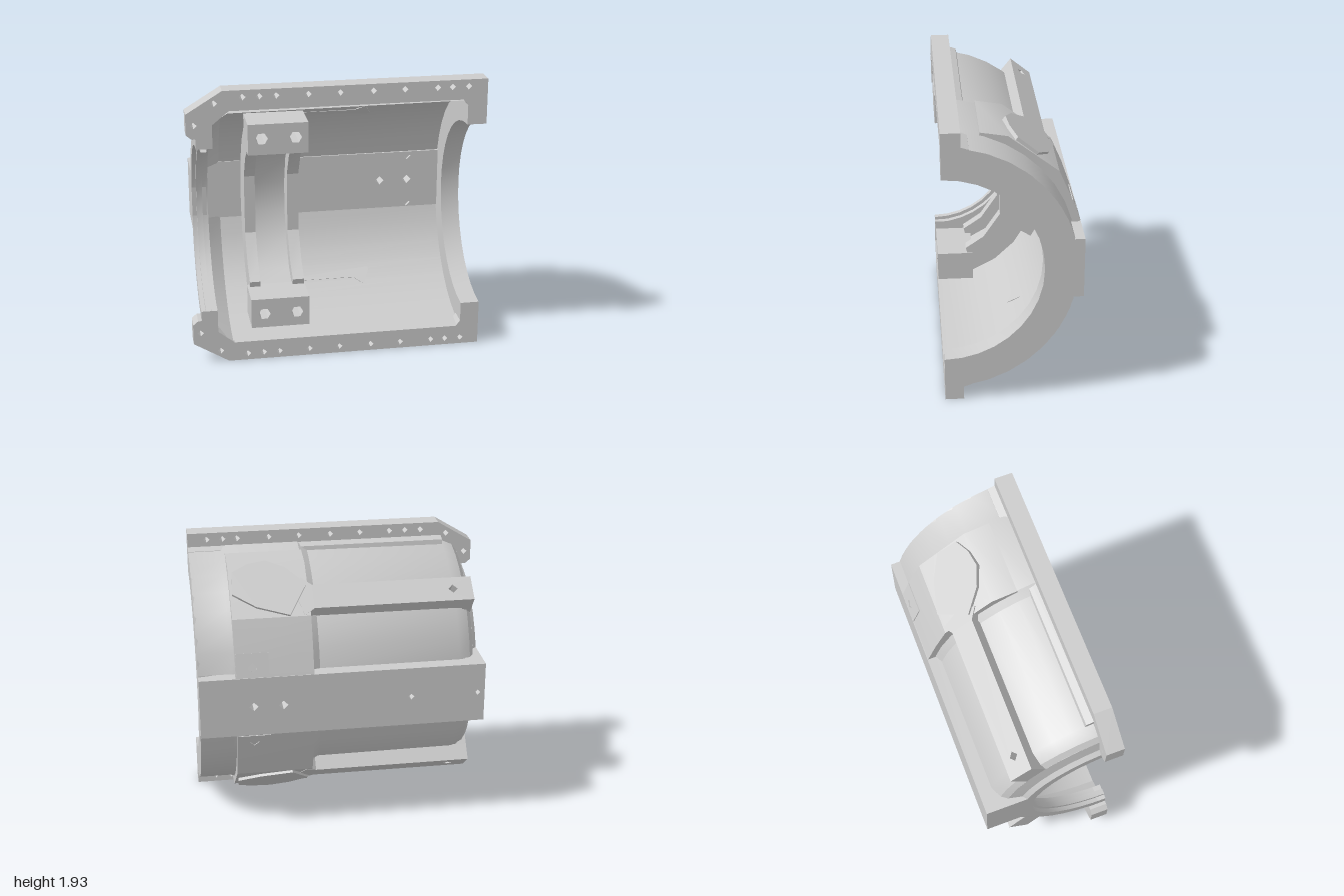
import * as THREE from 'three';
import { toCreasedNormals } from 'three/addons/utils/BufferGeometryUtils.js';

// Bore axis runs along x through (y = CY, z = CZ); upper and lower halves mirror about CY.
const CY = 0.97, CZ = 0.455;
const material = new THREE.MeshStandardMaterial({ color: 0xcccccc, side: THREE.DoubleSide });

export function createModel() {
  const model = new THREE.Group();

  const add = (name, geometry, parent = model) => {
    const mesh = new THREE.Mesh(toCreasedNormals(geometry, 0.5), material);
    mesh.name = name;
    parent.add(mesh);
  };
  const outline = (pts) => new THREE.Shape(pts.map(([x, y]) => new THREE.Vector2(x, y)));
  const polygonHole = (x, y, r, sides = 4) => {
    const pts = [];
    for (let i = 0; i < sides; i++) {
      const a = (i / sides) * Math.PI * 2;
      pts.push(new THREE.Vector2(x + r * Math.cos(a), y + r * Math.sin(a)));
    }
    return new THREE.Path(pts);
  };
  // Plate in x/y, extruded from z0 to z1, with holes [x, y, radius, sides]
  const plate = (pts, z0, z1, holes = []) => {
    const shape = outline(pts);
    holes.forEach((h) => shape.holes.push(polygonHole(...h)));
    return new THREE.ExtrudeGeometry(shape, { depth: z1 - z0, bevelEnabled: false }).translate(0, 0, z0);
  };
  const rect = (x0, x1, y0, y1) => [[x0, y0], [x1, y0], [x1, y1], [x0, y1]];
  // Solid with a [y, z] cross-section, extruded along x
  const prismX = (pts, x0, x1) =>
    new THREE.ExtrudeGeometry(outline(pts.map(([y, z]) => [-z, y])), { depth: x1 - x0, bevelEnabled: false })
      .rotateY(Math.PI / 2).translate(x0, 0, 0);
  // [y, z] points on an arc; angle 0 is the lower front edge, PI the upper one
  const arc = (r, a0, a1, n) => Array.from({ length: n + 1 }, (_, i) => {
    const a = a0 + ((a1 - a0) * i) / n;
    return [CY - r * Math.cos(a), CZ - r * Math.sin(a)];
  });
  // Closed [x, r] profile swept around the bore axis
  const swept = (profile, a0, a1, seg) =>
    new THREE.LatheGeometry([...profile, profile[0]].map(([x, r]) => new THREE.Vector2(r, x)),
      seg, Math.PI / 2 + a0, a1 - a0).rotateZ(-Math.PI / 2).translate(0, CY, CZ);

  // Curved wall, left open behind the back bar
  const gap = 0.255;
  const wall = [[-0.83, 0.75], [-0.89, 0.77], [-0.86, 0.81], [-0.78, 0.845], [0.18, 0.85],
    [0.24, 0.885], [0.74, 0.885], [0.78, 0.872], [1, 0.872], [1, 0.825], [-0.73, 0.815]];
  add('lowerWall', swept(wall, 0, Math.PI / 2 - gap, 8));
  add('upperWall', swept(wall, Math.PI / 2 + gap, Math.PI, 8));

  // End walls with their bores
  add('rightEndRing', swept([[0.87, 0.655], [0.87, 0.85], [1, 0.872], [1, 0.655]], 0, Math.PI, 18));
  add('leftEndRing', swept([[-0.94, 0.585], [-0.94, 0.655], [-0.91, 0.68], [-0.89, 0.77], [-0.83, 0.76],
    [-0.83, 0.585], [-0.87, 0.585], [-0.87, 0.56], [-0.91, 0.56], [-0.91, 0.585]], 0, Math.PI, 18));

  // Flat bar down the back, its inner lining and its deep left end
  const throughHoles = [[0.64, CY, 0.032], [0.44, CY, 0.032]];
  add('backBar', plate(rect(-0.85, 1, CY - 0.21, CY + 0.21), -0.455, -0.345,
    [...throughHoles, [-0.43, CY, 0.022]]));
  add('backBarLining', plate(rect(-0.84, 0.88, CY - 0.212, CY + 0.212), -0.345, -0.325,
    [...throughHoles, [0.64, CY - 0.18, 0.028], [0.64, CY + 0.18, 0.028]]));
  add('backBarEnd', plate(rect(-0.94, -0.84, CY - 0.21, CY + 0.21), -0.455, -0.12, [[-0.89, CY, 0.02]]));

  // Free-standing bearing saddle: two webs, a floor between them and a foot on the wall
  const saddleOuter = arc(0.71, Math.PI - 0.36, 0.36, 9);
  const web = [[-0.48, 0.25], [-0.39, 0.12], [-0.21, 0], [0.21, 0], [0.39, 0.12], [0.48, 0.25]]
    .map(([d, z]) => [CY + d, z]);
  add('leftBearingWeb', prismX([...web, ...saddleOuter], -0.585, -0.51));
  add('rightBearingWeb', prismX([...web, ...saddleOuter], -0.285, -0.205));
  add('bearingFloor', prismX([...arc(0.61, 0.36, Math.PI - 0.36, 7), ...saddleOuter], -0.51, -0.285));
  add('bearingFoot', prismX([...arc(0.7, 1, Math.PI - 1, 4), ...arc(0.83, Math.PI - 1, 1, 4)], -0.51, -0.285));

  for (const s of [1, -1]) {
    const side = s > 0 ? 'upper' : 'lower';
    const Y = (d) => CY + s * d;

    // Bolted flange
    const edge = [[1, 0.967], [-0.76, 0.967], [-1, 0.82], [-1, 0.68], [-0.965, 0.65], [-0.94, 0.65],
      [-0.94, 0.58], [-0.83, 0.58], [-0.83, 0.74], [-0.72, 0.83], [0.84, 0.83], [0.87, 0.79],
      [0.87, 0.655], [1, 0.655]].map(([x, d]) => [x, Y(d)]);
    const bolts = [-0.63, -0.52, -0.41, -0.2, 0.01, 0.23, 0.44, 0.66, 0.76, 0.87]
      .map((x) => [x, Y(0.92), 0.022]);
    bolts.push([-0.815, Y(0.885), 0.022], [-0.95, Y(0.742), 0.022]);
    add(side + 'Flange', plate(edge, 0.33, 0.455, bolts));

    // Fillet strip where the flange meets the wall
    add(side + 'FlangeFillet', prismX([[Y(0.83), 0.34], [Y(0.875), 0.34], [Y(0.855), 0.28], [Y(0.81), 0.27]], -0.78, 1));

    // Bearing mounting block with hexagonal holes
    add(side + 'BearingBlock', plate(rect(-0.6, -0.2, Y(0.52), Y(0.73)), 0.2, 0.455,
      [[-0.51, Y(0.63), 0.042, 6], [-0.285, Y(0.63), 0.042, 6]]));

    // Raised saddle band joining the boss to the back bar
    const inner = arc(0.85, 0.3, Math.PI / 2 - 0.23, 7).map(([y, z]) => [s > 0 ? 2 * CY - y : y, z]);
    add(side + 'RaisedBand', prismX([...inner, [Y(0.21), -0.45], [Y(0.4), -0.385], [Y(0.575), -0.31],
      [Y(0.83), 0.02], [Y(0.86), 0.2]], 0.23, 0.755));

    // Frame whose z axis points outward, tilted back from vertical by the given angle
    const tiltedFrame = (name, angle) => {
      const g = new THREE.Group();
      g.name = name;
      g.position.set(0, CY, CZ);
      g.rotation.x = Math.atan2(-s * Math.cos(angle), -Math.sin(angle));
      model.add(g);
      return g;
    };
    const flip = (pts) => pts.map(([x, t]) => [x, s * t]);

    // Small bolt pad beside the back bar
    const pad = tiltedFrame(side + 'BoltPad', 1.24);
    add('boltPadPlate', plate(flip(rect(0.53, 0.75, -0.07, 0.09)), 0.88, 0.93, [[0.64, s * 0.03, 0.032]]), pad);

    // Tilted boss and the long rib running from it, with a foot on the left end wall
    const boss = tiltedFrame(side + 'Boss', 0.68);
    add('bossFace', plate(flip([[0.37, 0.23], [0.59, 0.155], [0.74, 0.05], [0.73, -0.12], [0.62, -0.18],
      [0.5, -0.2], [0.37, -0.14], [0.24, 0]]), 0.84, 0.945), boss);
    add('longRib', plate(flip([[-0.89, 0], [0.2, 0], [0.27, -0.06], [0.32, 0.06], [0.27, 0.23],
      [0.2, 0.18], [-0.89, 0.18]]), 0.815, 0.93, [[-0.755, s * 0.09, 0.032]]), boss);
    add('ribFoot', plate(flip(rect(-0.89, -0.825, 0, 0.18)), 0.72, 0.82), boss);
  }
  return model;
}
